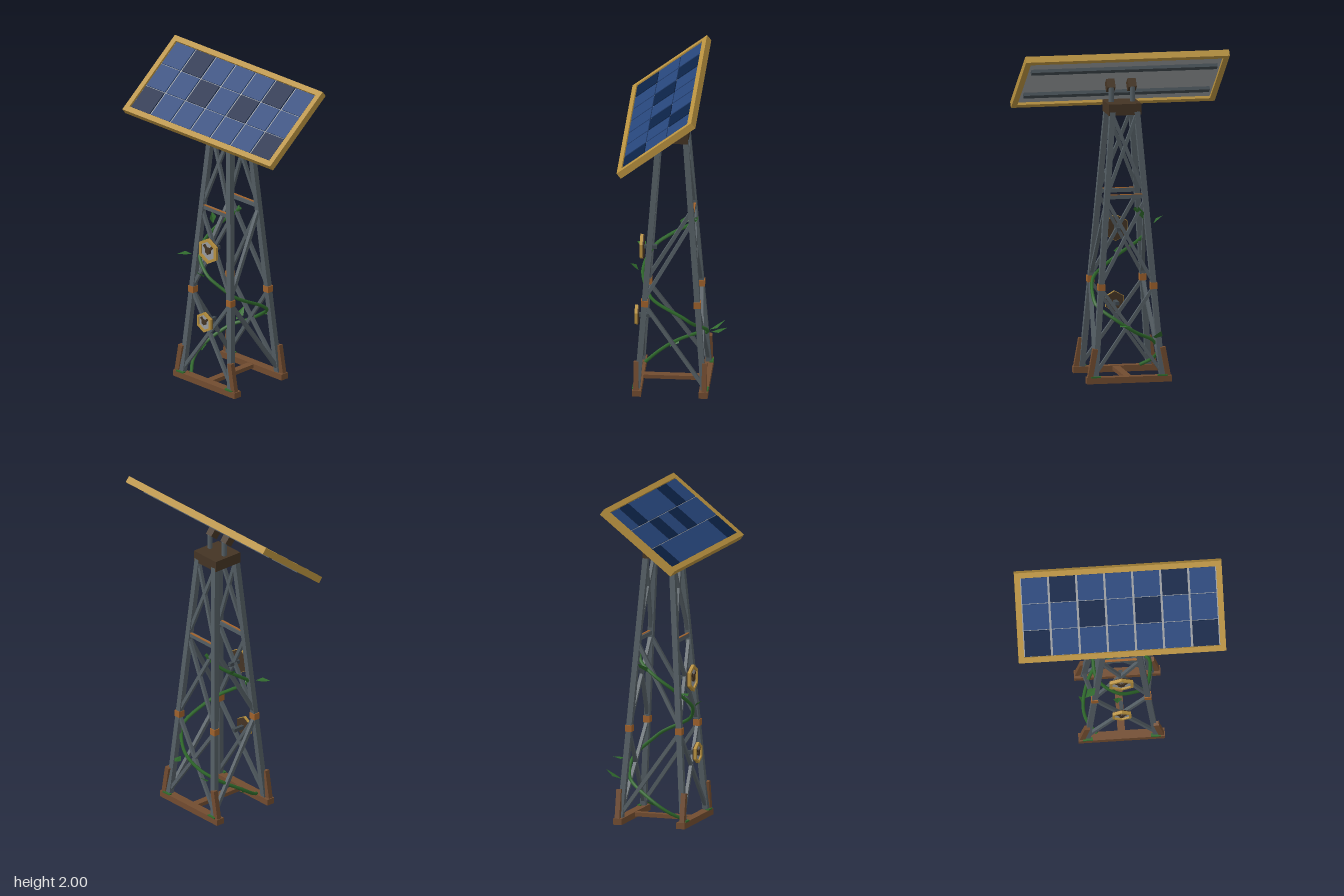
import * as THREE from 'three';

const mat = (name, color, opts = {}) => {
  const m = new THREE.MeshStandardMaterial({ color, ...opts });
  m.name = name;
  return m;
};
const M = {
  gold: mat('gold frame', 0xb8913f),
  cell: mat('blue cell', 0x26457a),
  navy: mat('dark cell', 0x0c2246),
  pale: mat('pale grey', 0x9a9da0),
  steel: mat('steel', 0x545e64),
  rail: mat('dark steel', 0x414a50),
  dark: mat('dark brown', 0x443424),
  wood: mat('wood', 0x724c30),
  rust: mat('rust', 0xa0622c),
  green: mat('leaf green', 0x2f6a2c, { side: THREE.DoubleSide }),
};
const V = (x, y, z) => new THREE.Vector3(x, y, z);
const UP = V(0, 1, 0);

function add(parent, name, geo, material, x = 0, y = 0, z = 0) {
  const m = new THREE.Mesh(geo, material);
  m.name = name;
  m.position.set(x, y, z);
  parent.add(m);
  return m;
}
const box = (parent, name, material, w, h, d, x, y, z) =>
  add(parent, name, new THREE.BoxGeometry(w, h, d), material, x, y, z);

// Square bar between two points
function bar(parent, name, material, a, b, size, depth = size) {
  const d = b.clone().sub(a);
  const m = add(parent, name, new THREE.BoxGeometry(size, d.length(), depth), material);
  m.position.copy(a).add(b).multiplyScalar(0.5);
  m.quaternion.setFromUnitVectors(UP, d.normalize());
  return m;
}

// Point on a tapering tower leg at height y
const CZ = 0.017;
function legAt(sx, sz, y) {
  const t = (y - 0.03) / 1.6;
  return V(sx * (0.205 - 0.13 * t), y, CZ + sz * (0.2 - 0.118 * t));
}

function buildTower() {
  const g = new THREE.Group();
  g.name = 'tower';
  for (const sz of [1, -1]) {
    // Base beam
    box(g, 'baseBeam', M.wood, 0.52, 0.038, 0.054, 0, 0.021, CZ + sz * 0.201);
    for (const sx of [1, -1]) {
      bar(g, 'leg', M.steel, legAt(sx, sz, 0.03), legAt(sx, sz, 1.63), 0.034);
      const j = legAt(sx, sz, 0.58);
      box(g, 'jointBand', M.rust, 0.042, 0.04, 0.042, j.x, j.y, j.z);
      // Wooden foot brace and moss
      bar(g, 'footBrace', M.wood, V(sx * 0.24, 0.03, CZ + sz * 0.206),
        V(sx * 0.207, 0.212, CZ + sz * 0.206), 0.032, 0.03);
      box(g, 'moss', M.green, 0.06, 0.008, 0.022, sx * 0.205, 0.042, CZ + sz * 0.218);
      // Crossed braces on front and back
      for (const [y0, y1] of [[0.06, 0.57], [0.6, 1.1], [1.13, 1.62]])
        bar(g, 'crossBrace', M.steel, legAt(sx, sz, y0), legAt(-sx, sz, y1), 0.02);
    }
    const l = legAt(1, sz, 1.12);
    box(g, 'crossStrut', M.steel, l.x * 2, 0.024, 0.022, 0, l.y, l.z);
    box(g, 'strutTop', M.rust, l.x * 2 - 0.03, 0.004, 0.014, 0, l.y + 0.013, l.z + sz * 0.004);
  }
  // Zigzag braces on the sides
  for (const sx of [1, -1]) {
    bar(g, 'sideBrace', M.steel, legAt(sx, -1, 0.06), legAt(sx, 1, 0.57), 0.022);
    bar(g, 'sideBrace', M.steel, legAt(sx, 1, 0.61), legAt(sx, -1, 1.1), 0.022);
  }
  box(g, 'baseLink', M.wood, 0.045, 0.024, 0.36, 0, 0.026, CZ);
  box(g, 'towerCap', M.dark, 0.2, 0.068, 0.195, 0, 1.646, CZ);
  for (const sx of [1, -1])
    add(g, 'mastPost', new THREE.CylinderGeometry(0.016, 0.016, 0.1, 8), M.steel, sx * 0.065, 1.72, CZ);
  return g;
}

function buildPanel() {
  const g = new THREE.Group();
  g.name = 'solarPanel';
  const W = 1.25, L = 0.57, T = 0.042, B = 0.034;
  for (const s of [1, -1]) {
    box(g, 'frameLong', M.gold, W, T, B, 0, 0, s * (L - B) / 2);
    box(g, 'frameShort', M.gold, B, T, L - 2 * B, s * (W - B) / 2, 0, 0);
    box(g, 'rail', M.rail, 1.14, 0.026, 0.034, 0, -0.013, s * 0.145);
    box(g, 'tiltBracket', M.dark, 0.05, 0.06, 0.056, s * 0.065, -0.042, 0);
  }
  box(g, 'backSheet', M.pale, W - 2 * B, 0.012, L - 2 * B, 0, 0.002, 0);
  // Grid of cells, some darker
  const darkCells = ['0,1', '0,5', '1,2', '1,4', '2,0', '2,6'];
  const cw = (W - 2 * B) / 7, cl = (L - 2 * B) / 3;
  for (let r = 0; r < 3; r++)
    for (let c = 0; c < 7; c++)
      box(g, 'cell', darkCells.includes(`${r},${c}`) ? M.navy : M.cell,
        cw - 0.013, 0.007, cl - 0.006, (c - 3) * cw, 0.0115, (r - 1) * cl);
  g.rotation.x = 0.663;
  g.position.set(0, 1.809, 0.072);
  return g;
}

// Hexagonal lamp facing forward
function buildLamp(y, z, r) {
  const g = new THREE.Group();
  g.name = 'hexLamp';
  const hex = (radius, Type) => new Type(Array.from({ length: 6 }, (_, i) => {
    const a = Math.PI / 6 + i * Math.PI / 3;
    return new THREE.Vector2(Math.cos(a) * radius, Math.sin(a) * radius);
  }));
  const plate = (name, shape, depth, material, z0) =>
    add(g, name, new THREE.ExtrudeGeometry(shape, { depth, bevelEnabled: false }), material, 0, 0, z0);
  const rim = hex(r, THREE.Shape);
  rim.holes.push(hex(r * 0.76, THREE.Path));
  plate('lampRim', rim, 0.018, M.gold, 0);
  plate('lampBack', hex(r * 0.96, THREE.Shape), 0.006, M.dark, -0.006);
  plate('lampLens', hex(r * 0.78, THREE.Shape), 0.008, M.pale, 0);
  plate('lampCore', hex(r * 0.28, THREE.Shape), 0.01, M.dark, 0.008);
  for (const s of [1, -1])
    bar(g, 'lampArm', M.dark, V(0, 0, 0.012), V(s * r * 0.42, r * 0.4, 0.012), r * 0.2, 0.008);
  box(g, 'lampStem', M.rail, 0.022, 0.022, 0.08, 0, 0, -0.042);
  g.position.set(0, y, z);
  return g;
}

// Folded diamond leaf from base to tip, widened along side
function leaf(parent, base, tip, side) {
  const mid = base.clone().lerp(tip, 0.45);
  const s = side.clone().multiplyScalar(0.028);
  const fold = tip.clone().sub(base).normalize().cross(side).multiplyScalar(0.008);
  const a = mid.clone().add(s).add(fold), b = mid.clone().sub(s).add(fold);
  const geo = new THREE.BufferGeometry().setFromPoints([base, a, tip, base, tip, b]);
  geo.computeVertexNormals();
  add(parent, 'leaf', geo, M.green);
}

function buildVine() {
  const g = new THREE.Group();
  g.name = 'vine';
  const pts = [
    [-0.15, 0.04, 0.2], [-0.21, 0.09, 0.12], [-0.22, 0.15, 0.03], [-0.15, 0.25, -0.13],
    [-0.05, 0.3, -0.18], [0.06, 0.37, -0.19], [0.18, 0.46, -0.11], [0.19, 0.5, -0.06],
    [0.15, 0.6, 0.13], [0.07, 0.66, 0.18], [-0.02, 0.72, 0.2], [-0.14, 0.82, 0.14],
    [-0.16, 0.9, 0.03], [-0.12, 0.98, -0.08], [-0.05, 1.05, -0.12],
  ].map((p) => V(...p));
  add(g, 'vineStem', new THREE.TubeGeometry(new THREE.CatmullRomCurve3(pts), 60, 0.011, 5), M.green);
  const X = V(1, 0, 0), Z = V(0, 0, 1);
  leaf(g, V(-0.16, 0.265, -0.19), V(-0.18, 0.325, -0.285), X);
  leaf(g, V(0.06, 0.355, -0.22), V(0.015, 0.365, -0.312), X);
  leaf(g, V(-0.02, 0.71, 0.225), V(-0.03, 0.75, 0.275), X);
  leaf(g, V(-0.155, 0.81, 0.19), V(-0.22, 0.81, 0.25), V(0.68, 0, 0.73));
  leaf(g, V(-0.185, 0.935, -0.02), V(-0.235, 0.99, -0.06), Z);
  leaf(g, V(-0.21, 0.12, 0.05), V(-0.245, 0.155, 0.0), Z);
  leaf(g, V(-0.1, 0.99, -0.1), V(-0.07, 1.06, -0.13), X);
  return g;
}

export function createModel() {
  const model = new THREE.Group();
  model.name = 'solarTower';
  model.add(buildTower(), buildPanel(), buildVine(),
    buildLamp(0.88, 0.196, 0.082), buildLamp(0.425, 0.228, 0.065));
  return model;
}
